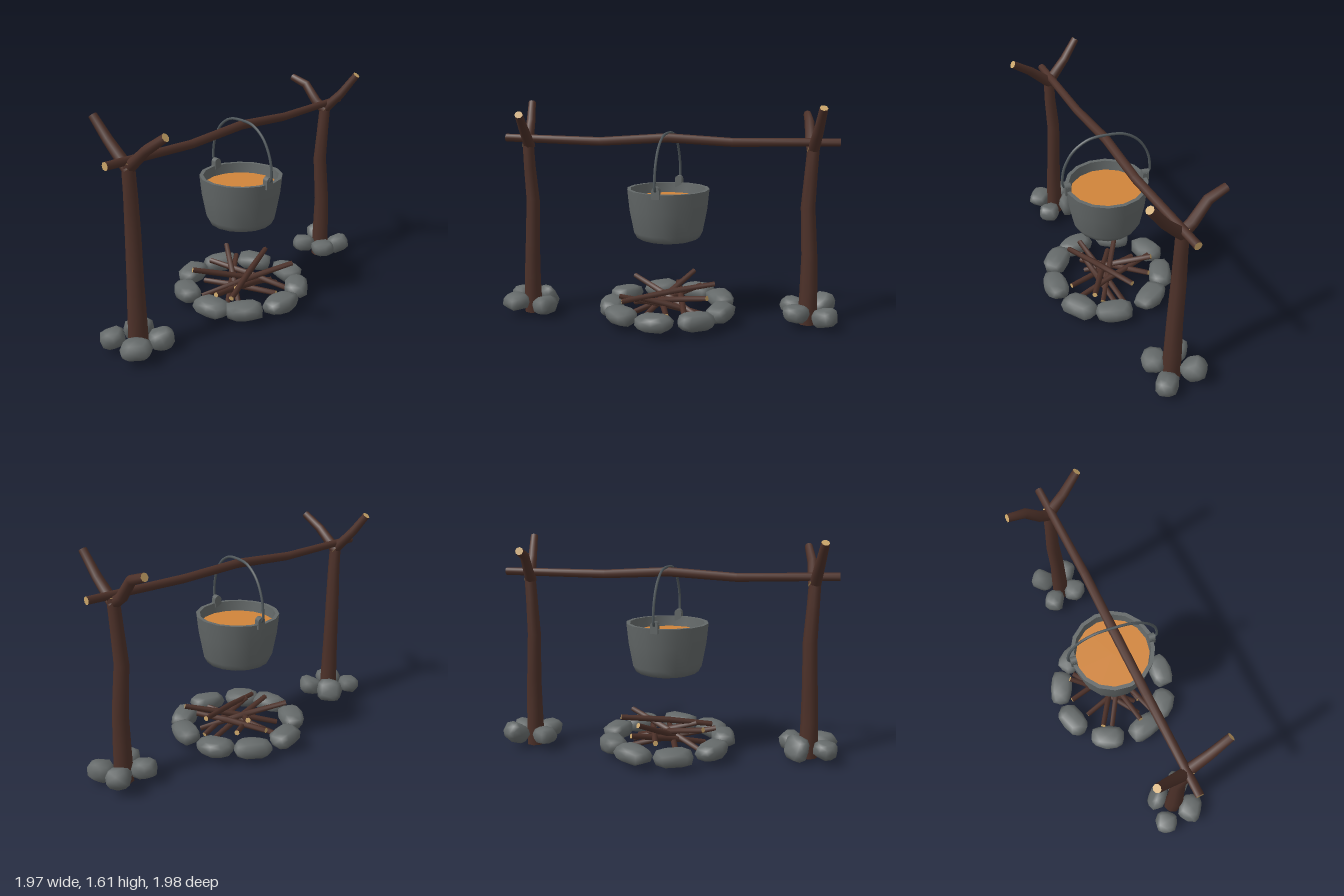
import * as THREE from 'three';
import { mergeVertices } from 'three/addons/utils/BufferGeometryUtils.js';

const mat = (name, color) => {
  const m = new THREE.MeshStandardMaterial({ color });
  m.name = name;
  return m;
};
const V = (a) => new THREE.Vector3(...a);
const UP = new THREE.Vector3(0, 1, 0);

export function createModel() {
  const bark = mat('bark', 0x4d3129);
  const cutWood = mat('cutWood', 0xc9a468);
  const stone = mat('stone', 0x656a6a);
  const iron = mat('iron', 0x636868);
  const steel = mat('handleSteel', 0x50585c);
  const stew = mat('stew', 0xd0843a);

  const model = new THREE.Group();
  model.name = 'campfireWithPot';
  const add = (parent, name, geometry, material) => {
    const mesh = new THREE.Mesh(geometry, material);
    mesh.name = name;
    parent.add(mesh);
    return mesh;
  };
  const group = (name, parent = model) => {
    const g = new THREE.Group();
    g.name = name;
    parent.add(g);
    return g;
  };

  // Bent log: rings swept along points, with pale cut ends
  function log(parent, name, path, radii, sides = 8) {
    const pts = path.map(V);
    const g = group(name, parent);
    const pos = [], idx = [], last = pts.length - 1;
    pts.forEach((p, i) => {
      const dir = pts[Math.min(i + 1, last)].clone().sub(pts[Math.max(i - 1, 0)]).normalize();
      const q = new THREE.Quaternion().setFromUnitVectors(UP, dir);
      for (let j = 0; j < sides; j++) {
        const a = (j / sides) * Math.PI * 2;
        const v = new THREE.Vector3(Math.cos(a), 0, Math.sin(a)).multiplyScalar(radii[i]);
        pos.push(...v.applyQuaternion(q).add(p).toArray());
        if (i < last) {
          const k = i * sides + j, n = i * sides + ((j + 1) % sides);
          idx.push(k, k + sides, n, n, k + sides, n + sides);
        }
      }
      if (i === 0 || i === last) {
        const cap = new THREE.CircleGeometry(radii[i], sides).rotateX(i ? -Math.PI / 2 : Math.PI / 2);
        const end = add(g, 'cutEnd', cap, cutWood);
        end.quaternion.copy(q);
        end.position.copy(p);
      }
    });
    const geo = new THREE.BufferGeometry();
    geo.setAttribute('position', new THREE.Float32BufferAttribute(pos, 3));
    geo.setIndex(idx);
    geo.computeVertexNormals();
    add(g, 'bark', geo, bark);
  }

  // Boulder: squared-off, slightly uneven sphere
  function boulder(parent, name, size, at, rot, seed) {
    let geo = new THREE.IcosahedronGeometry(1, 1);
    geo.deleteAttribute('normal');
    geo.deleteAttribute('uv');
    geo = mergeVertices(geo, 1e-4);
    const p = geo.attributes.position;
    const square = (v) => Math.sign(v) * Math.abs(v) ** 0.75;
    for (let i = 0; i < p.count; i++) {
      const k = 0.95 + 0.06 * Math.sin(i * 2.7 + seed * 1.9);
      p.setXYZ(i, square(p.getX(i)) * size[0] * k, square(p.getY(i)) * size[1] * k, square(p.getZ(i)) * size[2] * k);
    }
    geo.computeVertexNormals();
    const m = add(parent, name, geo, stone);
    m.position.set(...at);
    m.rotation.set(...rot);
  }

  // Forked posts
  const postR = [0.07, 0.064, 0.057, 0.052, 0.046, 0.043];
  const limbR = [0.043, 0.035, 0.029];
  const leftPost = group('leftPost');
  log(leftPost, 'trunk', [[0.73, 0.03, -0.74], [0.73, 0.3, -0.74], [0.728, 0.55, -0.737], [0.7, 0.9, -0.735], [0.715, 1.15, -0.737], [0.728, 1.36, -0.74]], postR);
  log(leftPost, 'outerFork', [[0.72, 1.31, -0.745], [0.84, 1.46, -0.66], [0.94, 1.62, -0.59]], limbR);
  log(leftPost, 'innerFork', [[0.73, 1.31, -0.73], [0.66, 1.37, -0.78], [0.58, 1.5, -0.845], [0.48, 1.545, -0.93]], [0.043, 0.039, 0.035, 0.029]);
  const rightPost = group('rightPost');
  log(rightPost, 'trunk', [[-0.73, 0.03, 0.76], [-0.73, 0.3, 0.76], [-0.73, 0.55, 0.75], [-0.73, 0.9, 0.733], [-0.73, 1.15, 0.75], [-0.735, 1.36, 0.755]], postR);
  log(rightPost, 'outerFork', [[-0.73, 1.31, 0.76], [-0.86, 1.48, 0.665], [-0.95, 1.62, 0.605]], limbR);
  log(rightPost, 'innerFork', [[-0.74, 1.31, 0.74], [-0.61, 1.46, 0.85], [-0.49, 1.56, 0.935]], limbR);

  // Crossbar
  log(model, 'crossbar', [[-0.86, 1.37, 0.87], [-0.35, 1.352, 0.36], [0, 1.385, 0.005], [0.34, 1.36, -0.32], [0.86, 1.37, -0.865]],
    [0.029, 0.032, 0.034, 0.032, 0.028]);

  // Stones around the post feet
  const feet = group('postStones');
  [
    [[0.09, 0.068, 0.085], [-0.9, 0.13, 0.755], [0, 0.2, 0.1]],
    [[0.095, 0.075, 0.09], [-0.575, 0.11, 0.745], [0, 0.2, 0.3]],
    [[0.11, 0.065, 0.095], [-0.735, 0.13, 0.9], [0, 0.1, 0]],
    [[0.11, 0.1, 0.06], [-0.735, 0.12, 0.63], [0.4, 0, 0]],
    [[0.09, 0.08, 0.1], [0.725, 0.145, -0.9], [0.6, 0, 0]],
    [[0.095, 0.068, 0.085], [0.585, 0.13, -0.735], [0, 0.2, 0]],
    [[0.1, 0.075, 0.085], [0.885, 0.11, -0.755], [0, 0.1, 0.25]],
    [[0.1, 0.067, 0.09], [0.735, 0.13, -0.61], [0, 0.15, 0]],
  ].forEach(([s, at, r], i) => boulder(feet, 'postStone', s, at, r, i));

  // Ring of fire stones, long side along the ring
  const ring = group('fireRing');
  [90, 50, 9, -28, -72, -109, -150, 166, 123].forEach((deg, i) => {
    const a = THREE.MathUtils.degToRad(deg);
    boulder(ring, 'ringStone', [0.148, 0.068, 0.098], [Math.cos(a) * 0.425, 0.125, Math.sin(a) * 0.425],
      [0, Math.PI / 2 - a, 0.06 * Math.sin(i * 2)], i + 10);
  });

  // Firewood
  const wood = group('firewood');
  [
    [[-0.37, 0.275, 0.05], [0.28, 0.09, -0.07]],
    [[-0.1, 0.31, -0.33], [-0.03, 0.06, 0.2]],
    [[0.21, 0.285, -0.28], [-0.09, 0.19, 0.36]],
    [[0.4, 0.265, -0.05], [-0.3, 0.08, 0.1]],
    [[-0.2, 0.195, 0.31], [0.2, 0.05, -0.22]],
    [[-0.23, 0.2, -0.27], [0.35, 0.13, 0.11]],
    [[-0.02, 0.21, -0.34], [-0.12, 0.07, 0.27]],
    [[-0.05, 0.21, 0.24], [0.24, 0.08, -0.15]],
    [[-0.28, 0.1, -0.12], [0.25, 0.14, 0.2]],
  ].forEach(([a, b]) => {
    const mid = a.map((v, i) => (v + b[i]) / 2 + (i === 1 ? 0.008 : 0));
    log(wood, 'stick', [a, mid, b], [0.02, 0.024, 0.02], 6);
  });

  // Pot: separate lathes keep the rim crisp
  const pot = group('pot');
  const lathe = (name, pts) => add(pot, name, new THREE.LatheGeometry(pts.map((p) => new THREE.Vector2(...p)), 16), iron);
  lathe('potOutside', [[0, 0.64], [0.2, 0.64], [0.235, 0.655], [0.258, 0.7], [0.29, 0.87], [0.305, 1.015]]);
  lathe('potRim', [[0.305, 1.015], [0.277, 1.015]]);
  lathe('potInside', [[0.277, 1.015], [0.262, 0.87], [0.23, 0.7], [0, 0.67]]);
  const surface = add(pot, 'stew', new THREE.CircleGeometry(0.273, 16).rotateX(-Math.PI / 2), stew);
  surface.position.y = 0.94;

  // Lugs and bail handle, set across the bar
  const bail = group('bail', pot);
  bail.rotation.y = -Math.atan2(0.8, 0.6);
  for (const s of [-1, 1]) {
    const lug = add(bail, 'lug', new THREE.BoxGeometry(0.045, 0.065, 0.055), iron);
    lug.position.set(s * 0.292, 1.015, 0);
    const eye = add(bail, 'lugTop', new THREE.CylinderGeometry(0.0275, 0.0275, 0.045, 10).rotateZ(Math.PI / 2), iron);
    eye.position.set(s * 0.292, 1.043, 0);
  }
  const half = [[0.29, 1.035], [0.323, 1.05], [0.327, 1.11], [0.308, 1.21], [0.24, 1.33], [0.13, 1.405]];
  const arc = [...half.map(([x, y]) => [-x, y, 0]), [0, 1.42, 0], ...half.map(([x, y]) => [x, y, 0]).reverse()];
  add(bail, 'handle', new THREE.TubeGeometry(new THREE.CatmullRomCurve3(arc.map(V)), 40, 0.01, 6), steel);

  return model;
}
